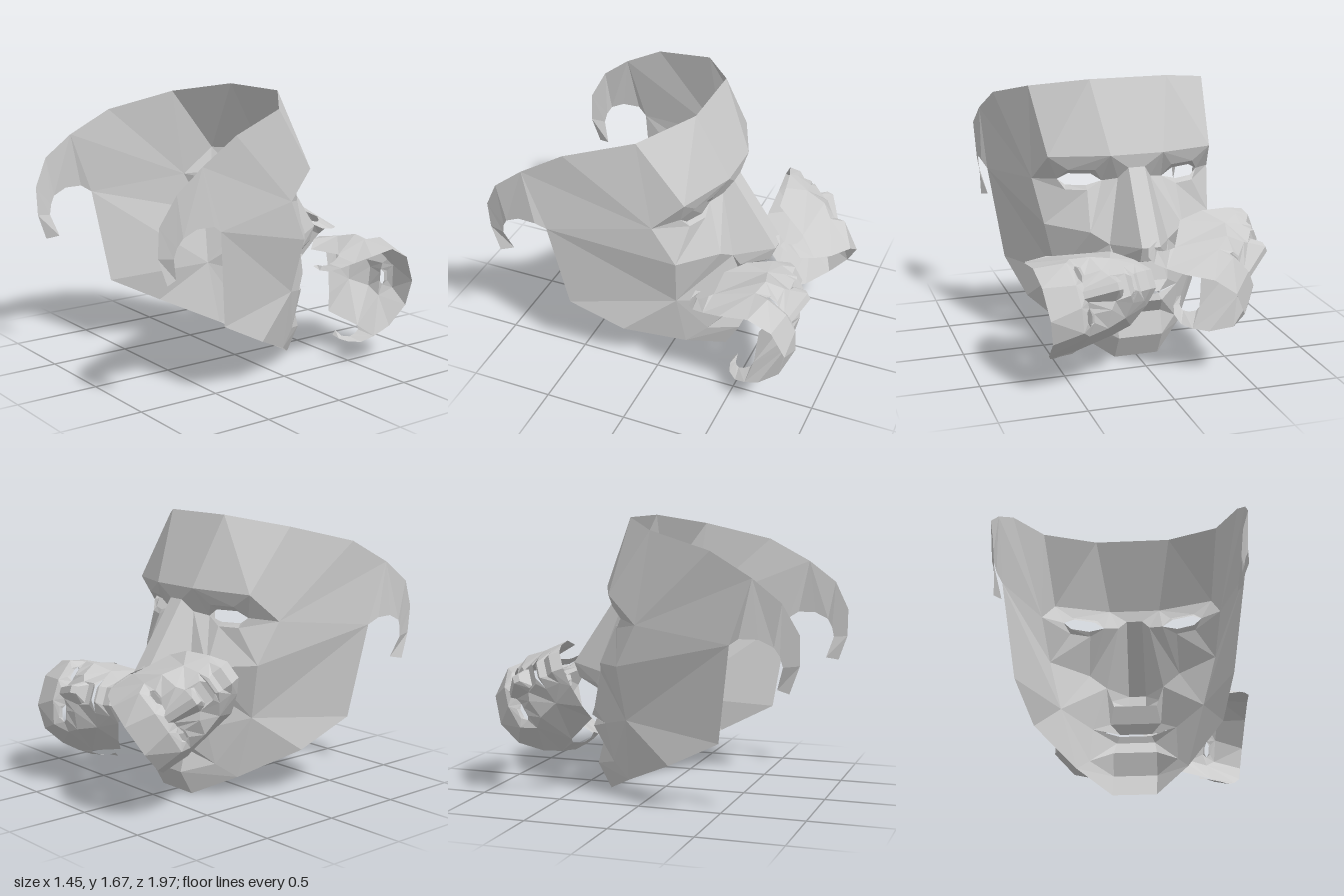
import * as THREE from 'three';

const material = new THREE.MeshStandardMaterial({ color: 0xcccccc, flatShading: true, side: THREE.DoubleSide });

// Landmarks of one half of a mask that faces -z; the other half is mirrored.
// A name ending in 0 means the same landmark moved onto the centre line.
const rim = {
  topIn: [0.235, 1.67, -0.14], topOut: [0.545, 1.61, 0.09],
  crown: [0.675, 1.51, 0.48], strapTop: [0.715, 1.37, 0.73],
  strapRoot: [0.7, 1.0, 0.6], jawBack: [0.62, 0.43, 0.52],
  jaw: [0.55, 0.265, 0.2], chinRim: [0.335, 0.11, -0.12],
  chinBase: [0.135, 0, -0.31],
};
const cheek = {
  temple: [0.555, 1.07, 0], cheekSide: [0.515, 0.82, -0.13],
  cheekIn: [0.285, 0.8, -0.32], cheekLow: [0.435, 0.49, -0.1],
};
const eye = {
  browIn: [0.16, 1.25, -0.32], browOut: [0.5, 1.235, -0.18],
  upIn: [0.235, 1.155, -0.25], upOut: [0.385, 1.155, -0.2],
  eyeIn: [0.185, 1.08, -0.21], eyeOut: [0.435, 1.09, -0.13],
  lowIn: [0.275, 1.03, -0.22], lowOut: [0.395, 1.03, -0.17],
  lidUpIn: [0.25, 1.125, -0.21], lidUpOut: [0.375, 1.125, -0.16],
  lidLowIn: [0.28, 1.055, -0.2], lidLowOut: [0.39, 1.055, -0.15],
};
const nose = {
  bridge: [0.05, 1.17, -0.31], bridgeSide: [0.1, 1.1, -0.26],
  tip: [0.055, 0.76, -0.585], under: [0.055, 0.67, -0.55],
  wing: [0.18, 0.73, -0.36], nostril: [0.155, 0.655, -0.4],
  noseBase: [0.135, 0.61, -0.38],
};
const mouth = {
  lipTop: [0.16, 0.5, -0.41], lipTopIn: [0.1, 0.445, -0.45],
  lipLowIn: [0.1, 0.42, -0.42], lipLow: [0.12, 0.38, -0.43],
  corner: [0.26, 0.428, -0.3],
  dent: [0.135, 0.29, -0.36], chinFront: [0.135, 0.15, -0.395],
  chinSide: [0.27, 0.2, -0.24],
};
const landmarks = { ...rim, ...cheek, ...eye, ...nose, ...mouth };

// Curled strap: outer and inner edges running to the tip
const strapOuter = [rim.strapTop, [0.725, 1.24, 0.9], [0.69, 1.07, 0.99], [0.675, 0.9, 0.99], [0.68, 0.745, 0.935]];
const strapInner = [[0.72, 1.04, 0.77], [0.715, 1.0, 0.855], [0.7, 0.95, 0.885], [0.69, 0.89, 0.9], [0.65, 0.76, 0.86]];
const strapPanels = [[rim.strapTop, rim.strapRoot, [0.725, 1.04, 0.66], strapInner[0]]];
for (let i = 0; i < 4; i++)
  strapPanels.push([strapOuter[i], strapInner[i], strapInner[i + 1], strapOuter[i + 1]]);

// Flat panels of each part, listed as the landmarks round their edge
const parts = {
  forehead: ['top0 topIn browIn brow0', 'topIn topOut browOut browIn'],
  side: [
    'temple browOut topOut crown strapTop strapRoot', 'strapRoot cheekSide temple',
    'strapRoot cheekLow cheekSide', 'strapRoot jawBack cheekLow', 'jawBack jaw cheekLow',
    'jaw chinRim cheekLow', 'chinRim chinSide cheekLow',
  ],
  eyeSocket: [
    'brow0 browIn bridge bridge0', 'browIn bridgeSide bridge',
    'browIn upIn eyeIn bridgeSide', 'browIn browOut upOut upIn',
    'browOut temple eyeOut upOut', 'temple cheekSide lowOut eyeOut',
  ],
  eyelids: [
    'upIn upOut lidUpOut lidUpIn', 'upIn lidUpIn eyeIn', 'upOut eyeOut lidUpOut',
    'lowIn lidLowIn lidLowOut lowOut', 'lowIn eyeIn lidLowIn', 'lowOut lidLowOut eyeOut',
  ],
  cheek: [
    'cheekSide cheekIn lowIn lowOut', 'cheekIn bridgeSide eyeIn lowIn', 'cheekIn wing bridgeSide',
    'wing cheekIn cheekLow', 'cheekIn cheekSide cheekLow',
    'wing cheekLow corner', 'wing corner lipTop noseBase', 'corner cheekLow chinSide',
  ],
  nose: [
    'bridge0 bridge tip tip0', 'bridge bridgeSide wing tip', 'tip0 tip under under0',
    'tip wing nostril under', 'under0 under noseBase noseBase0',
    'under nostril noseBase', 'wing noseBase nostril',
  ],
  lips: [
    'noseBase0 noseBase lipTop lipTop0', 'lipTop0 lipTop lipTopIn lipTopIn0', 'lipTop corner lipTopIn',
    'lipLowIn0 lipLowIn lipLow lipLow0', 'lipLowIn corner lipLow',
  ],
  chin: [
    'lipLow0 lipLow dent dent0', 'lipLow corner chinSide dent', 'dent0 dent chinFront chinFront0',
    'dent chinSide chinFront', 'chinFront0 chinFront chinBase chinBase0',
    'chinFront chinSide chinRim chinBase',
  ],
};
const centreAlias = { top0: 'topIn', brow0: 'browIn' };

function landmark(name) {
  if (!name.endsWith('0')) return landmarks[name];
  const [, y, z] = landmarks[centreAlias[name] || name.slice(0, -1)];
  return [0, y, z];
}

// Fan each panel into triangles and add its mirror image
function panelGeometry(panels) {
  const pos = [];
  for (const p of panels)
    for (let i = 1; i < p.length - 1; i++) {
      pos.push(...p[0], ...p[i], ...p[i + 1]);
      for (const [x, y, z] of [p[0], p[i + 1], p[i]]) pos.push(-x, y, z);
    }
  const geometry = new THREE.BufferGeometry();
  geometry.setAttribute('position', new THREE.Float32BufferAttribute(pos, 3));
  geometry.computeVertexNormals();
  return geometry;
}

const geometries = { straps: panelGeometry(strapPanels) };
for (const [name, panels] of Object.entries(parts))
  geometries[name] = panelGeometry(panels.map((p) => p.split(' ').map(landmark)));

function makeMask(name) {
  const mask = new THREE.Group();
  mask.name = name;
  for (const [part, geometry] of Object.entries(geometries)) {
    const mesh = new THREE.Mesh(geometry, material);
    mesh.name = part;
    mask.add(mesh);
  }
  return mask;
}

// Turn a mask so that it looks along face, with its crown towards up
function place(mask, position, up, face, scale) {
  const u = new THREE.Vector3(...up).normalize();
  const x = new THREE.Vector3(...face).cross(u).normalize();
  const z = new THREE.Vector3().crossVectors(x, u);
  mask.quaternion.setFromRotationMatrix(new THREE.Matrix4().makeBasis(x, u, z));
  mask.position.set(...position);
  mask.scale.setScalar(scale);
  return mask;
}

export function createModel() {
  const model = new THREE.Group();
  model.name = 'masks';
  model.add(
    makeMask('largeMask'),
    place(makeMask('smallMaskRight'), [-0.524, 0.83, -0.37], [0.245, -0.52, -0.82], [-0.867, 0.257, -0.422], 0.4),
    place(makeMask('smallMaskLeft'), [0.054, 0.56, -0.59], [0.96, -0.02, -0.28], [-0.244, 0.44, -0.867], 0.4),
  );
  return model;
}
